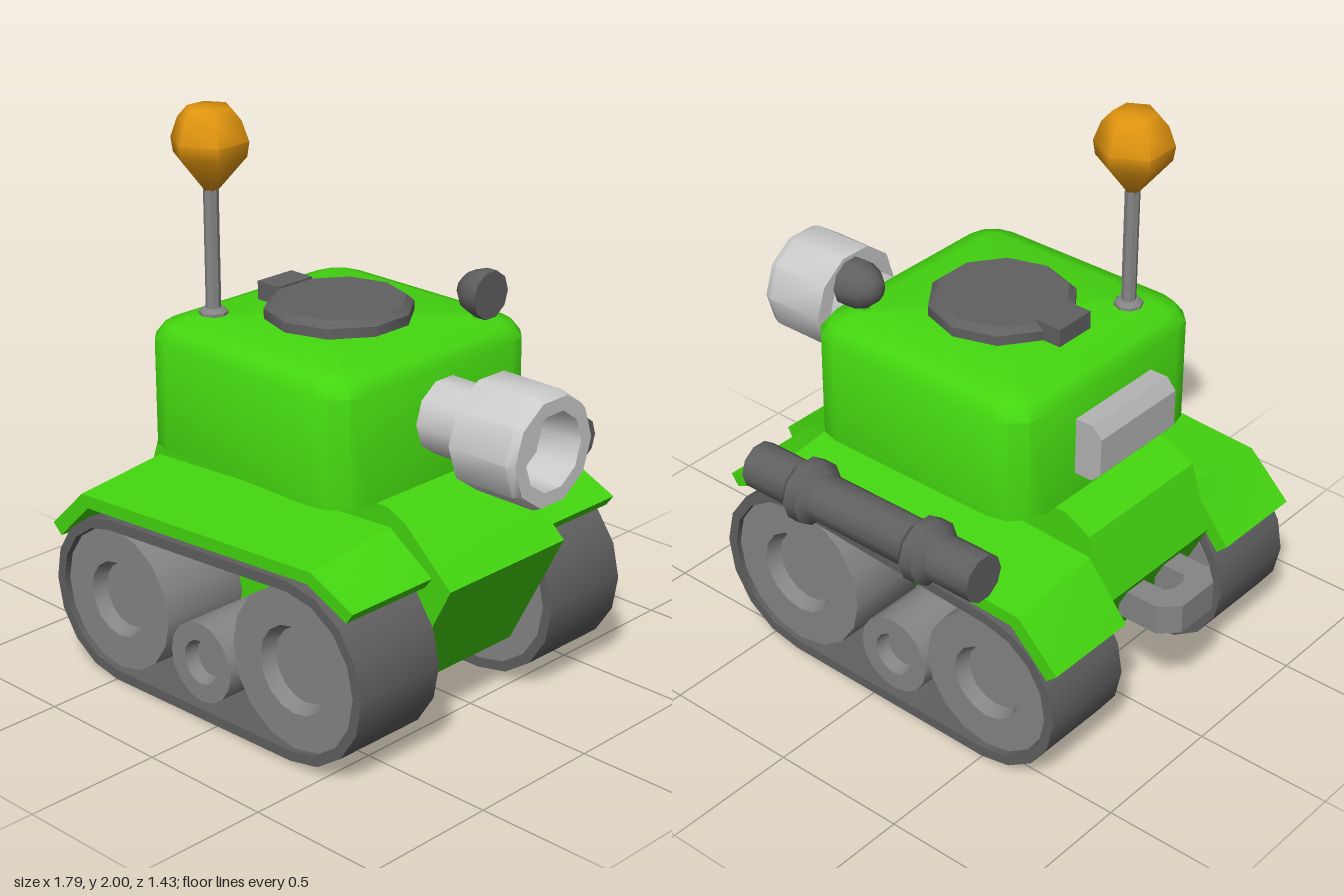
import * as THREE from 'three';
import { toCreasedNormals } from 'three/addons/utils/BufferGeometryUtils.js';

const GREEN = 0x44d610, DARK = 0x606060, MID = 0x858585, LIGHT = 0xb4b4b4, ORANGE = 0xe0940f;
const MID_Z = 0.08; // the body's middle plane

export function createModel() {
  const model = new THREE.Group();
  const materials = {};
  const material = (c) => (materials[c] ??= new THREE.MeshStandardMaterial({ color: c }));

  const add = (name, geometry, color, pos = [0, 0, 0], crease = 0.7) => {
    const mesh = new THREE.Mesh(toCreasedNormals(geometry, crease), material(color));
    mesh.name = name;
    mesh.position.set(...pos);
    model.add(mesh);
    return mesh;
  };
  const vec = (points) => points.map(([x, y]) => new THREE.Vector2(x, y));
  const lathe = (points, sides) => new THREE.LatheGeometry(vec(points), sides);
  const latheX = (points, sides) => lathe(points, sides).rotateZ(-Math.PI / 2);
  const extrude = (points, depth, hole) => {
    const shape = new THREE.Shape(vec(points));
    if (hole) shape.holes.push(new THREE.Path(vec(hole)));
    return new THREE.ExtrudeGeometry(shape, { depth, bevelEnabled: false });
  };

  // Hull
  add('hull', extrude([
    [-0.55, 0.18], [0.5, 0.18], [0.725, 0.615], [0.53, 0.79], [0.45, 0.827],
    [-0.55, 0.827], [-0.65, 0.775], [-0.73, 0.54],
  ], 0.56), GREEN, [0, 0, MID_Z - 0.28], 0.6);

  // Track loop around two end wheels of different size
  const loop = (inset) => {
    const points = [];
    const ends = [[-0.5, 0.3, 0.3, 92], [0.36, 0.335, 0.32, -90]];
    for (const [cx, cy, r, start] of ends) {
      const sweep = start > 0 ? 178 : 182;
      for (let i = 0; i <= 8; i++) {
        const a = THREE.MathUtils.degToRad(start + (sweep * i) / 8);
        points.push([cx + (r - inset) * Math.cos(a), cy + (r - inset) * Math.sin(a)]);
      }
    }
    return points;
  };

  // Running gear and fender of each side
  const wheels = [
    ['rearWheel', -0.5, 0.3, 0.258, 0.137],
    ['middleWheel', -0.085, 0.205, 0.145, 0.08],
    ['frontWheel', 0.36, 0.335, 0.283, 0.155],
  ];
  for (const [side, s] of [['left', 1], ['right', -1]]) {
    const inner = s > 0 ? 0.28 : -0.64;
    add(side + 'Track', extrude(loop(0), 0.36, loop(0.037)), DARK, [0, 0, MID_Z + inner]);

    for (const [name, x, y, r, hub] of wheels) {
      const wheel = lathe([
        [0, 0.28], [r, 0.28], [r, 0.62], [hub, 0.62], [hub * 0.86, 0.57], [0, 0.57],
      ], 16).rotateX((s * Math.PI) / 2);
      add(side + name[0].toUpperCase() + name.slice(1), wheel, MID, [x, y, MID_Z]);
    }

    // Fender: its raised middle slopes down towards the outside
    const fender = extrude([
      [-0.81, 0.5], [-0.77, 0.463], [-0.62, 0.65], [0.44, 0.715],
      [0.615, 0.597], [0.645, 0.637], [0.46, 0.76], [-0.65, 0.695],
    ], 0.36).translate(0, 0, inner);
    const p = fender.attributes.position;
    for (let i = 0; i < p.count; i++) {
      const x = p.getX(i);
      if (x > -0.7 && x < 0.6) p.setY(i, p.getY(i) - (0.04 * (Math.abs(p.getZ(i)) - 0.28)) / 0.36);
    }
    add(side + 'Fender', fender, GREEN, [0, 0, MID_Z], 0.3);
  }

  // Turret: rounded rectangles stacked as [height, inset]
  const layers = [[0.845, 'centre'], [0.845, 0], [1.22, 0], [1.265, 0.035], [1.29, 0.11], [1.29, 'centre']];
  const positions = [], index = [], count = 16;
  for (const [y, inset] of layers) {
    for (let i = 0; i < count; i++) {
      const quarter = Math.floor(i / 4);
      const a = (quarter + (i % 4) / 3) * (Math.PI / 2);
      const sx = quarter === 0 || quarter === 3 ? 1 : -1, sz = quarter < 2 ? 1 : -1;
      const r = 0.14 - inset;
      if (inset === 'centre') positions.push(0, y, 0);
      else positions.push(sx * 0.335 + r * Math.cos(a), y, sz * 0.34 + r * Math.sin(a));
    }
  }
  for (let l = 0; l < layers.length - 1; l++) {
    for (let i = 0; i < count; i++) {
      const a = l * count + i, b = l * count + ((i + 1) % count);
      if (l > 0) index.push(a, b + count, b);
      if (l < layers.length - 2) index.push(a, a + count, b + count);
      if (l === layers.length - 2) index.splice(-3, 3, a, a + count, b);
    }
  }
  const turret = new THREE.BufferGeometry();
  turret.setAttribute('position', new THREE.Float32BufferAttribute(positions, 3));
  turret.setIndex(index);
  add('turret', turret, GREEN, [-0.045, 0, MID_Z], 0.8);

  // Gun with a wide hollow muzzle
  add('gunBarrel', latheX([[0, 0.38], [0.132, 0.38], [0.132, 0.66], [0, 0.66]], 10), 0xcccccc, [0, 1.06, 0.075]);
  add('gunMuzzle', latheX([
    [0, 0.63], [0.198, 0.63], [0.198, 0.865], [0.185, 0.895], [0.135, 0.895], [0.125, 0.74], [0, 0.74],
  ], 10), 0xcccccc, [0, 1.06, 0.075]);

  // Box on the turret's back
  add('turretBox', extrude([
    [-0.5, 0.93], [-0.5, 1.14], [-0.59, 1.14], [-0.625, 1.1], [-0.625, 0.965], [-0.59, 0.93],
  ], 0.395), LIGHT, [0, 0, -0.12], 0.3);

  // Hatch and hinge
  add('hatch', lathe([[0, 1.28], [0.255, 1.28], [0.255, 1.325], [0.23, 1.347], [0, 1.347]], 10), DARK, [-0.045, 0, 0.075], 0.65);
  add('hatchHinge', new THREE.BoxGeometry(0.1, 0.07, 0.16), DARK, [-0.305, 1.32, 0.075]);

  // Lamp
  add('lamp', latheX([
    [0, -0.13], [0.04, -0.118], [0.07, -0.085], [0.085, -0.04], [0.085, 0], [0, 0],
  ], 10), DARK, [0.355, 1.375, -0.235], 0.8);
  add('lampStalk', new THREE.CylinderGeometry(0.025, 0.035, 0.06, 8), GREEN, [0.31, 1.285, -0.235]);

  // Aerial
  const aerial = [-0.355, 0, 0.36];
  add('aerialBase', lathe([[0, 1.27], [0.05, 1.27], [0.05, 1.3], [0.035, 1.313], [0, 1.313]], 8), MID, aerial);
  add('aerialRod', lathe([[0.026, 1.3], [0.026, 1.74]], 8), MID, aerial);
  add('aerialBall', lathe([
    [0, 1.72], [0.025, 1.72], [0.127, 1.84], [0.135, 1.89], [0.11, 1.96], [0.075, 2], [0, 2],
  ], 6), ORANGE, aerial, 1.1);

  // Side pipe with two collars
  const pipe = [[0, -0.54], [0.085, -0.54]];
  for (const x of [-0.305, 0.212]) {
    pipe.push([0.085, x - 0.055], [0.115, x - 0.025], [0.115, x + 0.025], [0.085, x + 0.055]);
  }
  pipe.push([0.085, 0.457], [0, 0.457]);
  add('sidePipe', latheX(pipe, 10), DARK, [0, 0.78, -0.6]);

  // Tow hook, a flat U drawn in plan
  const hook = extrude([
    [-0.68, -0.145], [-0.84, -0.145], [-0.9, -0.085], [-0.9, 0.085], [-0.84, 0.145], [-0.68, 0.145],
    [-0.68, 0.055], [-0.8, 0.055], [-0.82, 0.025], [-0.82, -0.025], [-0.8, -0.055], [-0.68, -0.055],
  ], 0.11).rotateX(Math.PI / 2);
  add('towHook', hook, MID, [0, 0.51, 0.075]);

  return model;
}
